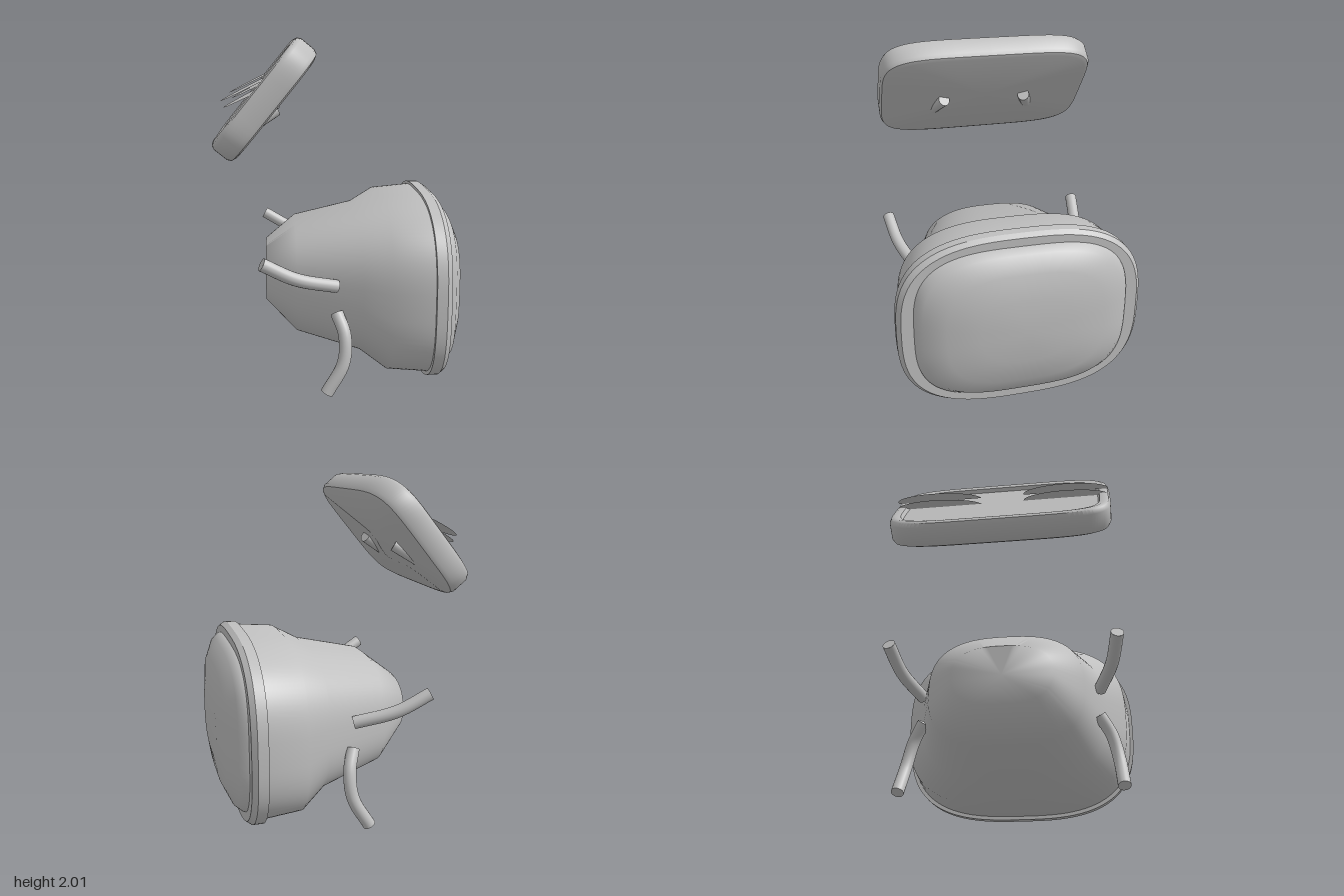
import * as THREE from 'three';
import { toCreasedNormals } from 'three/addons/utils/BufferGeometryUtils.js';

const grey = new THREE.MeshStandardMaterial({ color: 0xc0c0c0 });
grey.name = 'grey';
const greySheet = new THREE.MeshStandardMaterial({ color: 0xc0c0c0, side: THREE.DoubleSide });
greySheet.name = 'grey sheet';

// Skin superellipse rings [x, centreY, halfY, halfZ, power] stacked along x
function loft(rings, crease, sides = 96) {
  const pos = [], index = [];
  const bend = (v, n) => Math.sign(v) * Math.abs(v) ** (2 / n);
  for (const [x, cy, hy, hz, n] of rings) {
    for (let j = 0; j < sides; j++) {
      const t = (j / sides) * Math.PI * 2;
      pos.push(x, cy + hy * bend(Math.sin(t), n), hz * bend(Math.cos(t), n));
    }
  }
  for (let i = 0; i < rings.length - 1; i++) {
    for (let j = 0; j < sides; j++) {
      const k = (j + 1) % sides;
      const a = i * sides + j, b = i * sides + k, c = a + sides, d = b + sides;
      index.push(a, c, b, b, c, d);
    }
  }
  const g = new THREE.BufferGeometry();
  g.setAttribute('position', new THREE.Float32BufferAttribute(pos, 3));
  g.setIndex(index);
  return toCreasedNormals(g, crease);
}

function add(parent, geometry, name, material = grey) {
  const mesh = new THREE.Mesh(geometry, material);
  mesh.name = name;
  parent.add(mesh);
  return mesh;
}

// Curved round limb with flat ends
function limb(parent, points, radius, name) {
  const group = new THREE.Group();
  group.name = name;
  const curve = new THREE.CatmullRomCurve3(points.map((p) => new THREE.Vector3(...p)));
  add(group, new THREE.TubeGeometry(curve, 20, radius, 20), name + 'Tube');
  for (const t of [0, 1]) {
    const cap = add(group, new THREE.CircleGeometry(radius, 20), name + 'End');
    cap.position.copy(curve.getPointAt(t));
    const out = curve.getTangentAt(t).multiplyScalar(t ? 1 : -1);
    cap.quaternion.setFromUnitVectors(new THREE.Vector3(0, 0, 1), out);
  }
  parent.add(group);
}

export function createModel() {
  const model = new THREE.Group();
  model.name = 'model';

  // Tapering housing behind the screen
  add(model, loft([
    [-0.44, 0.6, 0, 0, 2.6],
    [-0.44, 0.6, 0.17, 0.28, 2.6],
    [-0.26, 0.58, 0.33, 0.445, 2.7],
    [0.11, 0.563, 0.422, 0.565, 2.8],
    [0.26, 0.552, 0.512, 0.68, 2.9],
    [0.5, 0.552, 0.532, 0.705, 2.9],
  ], 0.9), 'housing');

  // Bevelled rim around the screen
  add(model, loft([
    [0.49, 0.55, 0.5, 0.67, 2.9],
    [0.49, 0.55, 0.55, 0.725, 2.9],
    [0.55, 0.55, 0.55, 0.725, 2.9],
    [0.58, 0.55, 0.53, 0.7, 2.9],
    [0.58, 0.553, 0.46, 0.61, 3.3],
  ], 0.4), 'screenRim');

  // Bulging screen
  add(model, loft([
    [0.57, 0.555, 0.478, 0.633, 3.3],
    [0.59, 0.555, 0.474, 0.626, 3.3],
    [0.63, 0.555, 0.447, 0.587, 3.2],
    [0.68, 0.555, 0.35, 0.46, 3],
    [0.708, 0.555, 0.2, 0.27, 2.6],
    [0.715, 0.555, 0, 0, 2.6],
  ], 1), 'screen');

  // Tilted tray-shaped panel above, with a shallow recess
  const panelRing = (x, inset) => [x, 0, 0.39 - inset, 0.65 - inset, 5];
  const panel = add(model, loft([
    [-0.045, 0, 0, 0, 5],
    panelRing(-0.045, 0.072),
    panelRing(-0.068, 0.062),
    panelRing(-0.076, 0.032),
    panelRing(-0.068, 0.012),
    panelRing(-0.045, 0),
    panelRing(0.045, 0),
    panelRing(0.067, 0.01),
    panelRing(0.076, 0.03),
    [0.076, 0, 0, 0, 5],
  ], 0.7), 'panel');
  panel.position.set(-0.43, 1.67, 0);
  panel.rotation.z = -0.689;

  for (const side of [1, -1]) {
    const label = side > 0 ? 'left' : 'right';

    // Paired half-disc flaps on the panel
    for (const [x, y, name] of [[-0.435, 1.78, 'UpperFlap'], [-0.418, 1.746, 'LowerFlap']]) {
      const disc = new THREE.CircleGeometry(0.257, 40, Math.PI / 2, Math.PI);
      disc.rotateX(-Math.PI / 2).rotateZ(0.461);
      add(model, disc, label + name, greySheet).position.set(x, y, side * 0.387);
    }

    // Short peg under the panel
    limb(model, [[-0.5, 1.52, side * 0.31], [-0.365, 1.605, side * 0.255]], 0.037, label + 'Peg');

    // Arm reaching back and leg curving down
    limb(model, [
      [-0.455, 0.81, side * 0.64],
      [-0.27, 0.71, side * 0.605],
      [-0.04, 0.64, side * 0.53],
    ], 0.037, label + 'Arm');
    limb(model, [
      [-0.04, 0.48, side * 0.52],
      [0, 0.37, side * 0.585],
      [-0.01, 0.22, side * 0.62],
      [-0.105, 0.05, side * 0.635],
    ], 0.037, label + 'Leg');
  }

  return model;
}
